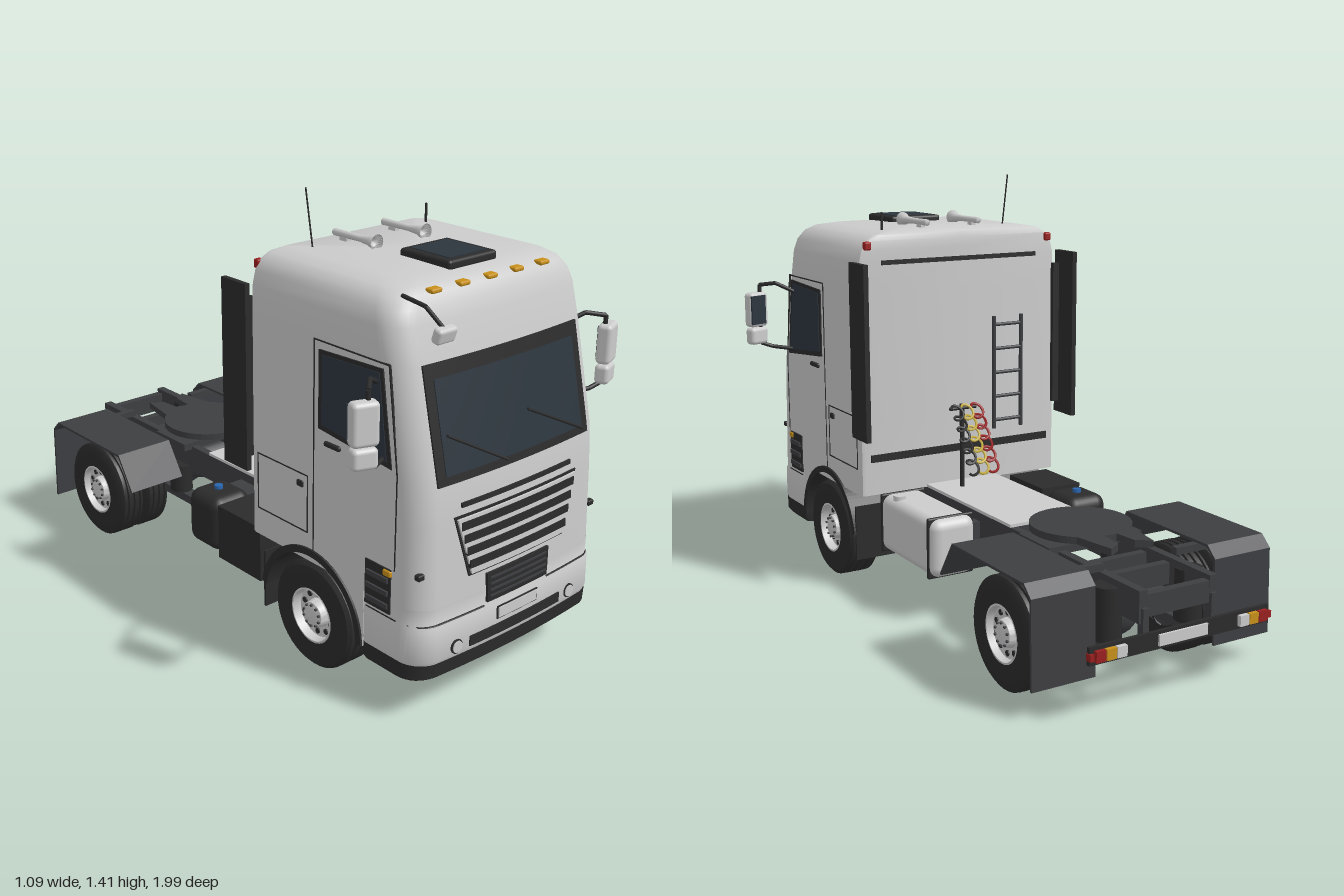
import * as THREE from 'three';
import { toCreasedNormals } from 'three/addons/utils/BufferGeometryUtils.js';
import { RoundedBoxGeometry } from 'three/addons/geometries/RoundedBoxGeometry.js';

const GREY = 0xcccccc, DARK = 0x2b2b2c, FRAME = 0x3d3e41, GLASS = 0x2c353d, AMBER = 0xc8901a, RED = 0x9a2020;
const BOW = 0.02, CORNER = 0.08;

// body levels: [height, front z, half width, back z]
const CAB = [[0.35, 0.6, 0.001, 0.59], [0.35, 0.982, 0.385, 0.25], [0.6, 0.972, 0.385, 0.25], [0.72, 0.963, 0.385, 0.25],
  [1.04, 0.89, 0.384, 0.25], [1.14, 0.864, 0.382, 0.25], [1.18, 0.85, 0.372, 0.25], [1.21, 0.832, 0.352, 0.25],
  [1.228, 0.805, 0.322, 0.255], [1.238, 0.75, 0.27, 0.27], [1.242, 0.55, 0.001, 0.54]];
const BUMPER = [[0.185, 0.984, 0.385, 0.745], [0.2, 0.99, 0.388, 0.745], [0.3, 0.988, 0.388, 0.745],
  [0.31, 0.982, 0.385, 0.745], [0.36, 0.982, 0.385, 0.745]];
const VALANCE = [[0.13, 0.85, 0.001, 0.84], [0.13, 0.965, 0.375, 0.745], [0.145, 0.985, 0.387, 0.745], [0.19, 0.988, 0.387, 0.745]];

export function createModel() {
  const root = new THREE.Group();
  const mats = {};
  const mat = (c) => (mats[c] ??= new THREE.MeshStandardMaterial({ color: c, side: THREE.DoubleSide }));
  const add = (name, geo, color, x = 0, y = 0, z = 0) => {
    const m = new THREE.Mesh(geo, mat(color));
    m.name = name;
    m.position.set(x, y, z);
    root.add(m);
    return m;
  };
  const toShape = (pts) => new THREE.Shape(pts.map((p) => new THREE.Vector2(...p)));
  // box given by its limits
  const box = (name, c, x0, x1, y0, y1, z0, z1) => add(name,
    new THREE.BoxGeometry(Math.abs(x1 - x0), y1 - y0, z1 - z0), c, (x0 + x1) / 2, (y0 + y1) / 2, (z0 + z1) / 2);
  const rounded = (name, c, w, h, d, r, x, y, z) => add(name, new RoundedBoxGeometry(w, h, d, 3, r), c, x, y, z);
  const rod = (name, c, a, b, r, r2 = r) => {
    const A = new THREE.Vector3(...a), B = new THREE.Vector3(...b), d = B.clone().sub(A);
    const m = add(name, new THREE.CylinderGeometry(r2, r, d.length(), 20), c);
    m.position.copy(A).lerp(B, 0.5);
    m.quaternion.setFromUnitVectors(new THREE.Vector3(0, 1, 0), d.normalize());
  };
  const bent = (name, c, pts, r) => {
    for (let i = 1; i < pts.length; i++) rod(name, c, pts[i - 1], pts[i], r);
  };
  // plate from a shape drawn in (z, y), reaching from x toward -x by its depth
  const plate = (name, c, shape, x, depth) => add(name,
    new THREE.ExtrudeGeometry(shape, { depth, bevelEnabled: false, curveSegments: 24 }).rotateY(-Math.PI / 2), c, x);

  // body lofted through rounded plan outlines
  const loft = (name, c, levels) => {
    const rings = levels.map(([y, zf, w, zb]) => {
      const r = Math.min(CORNER, w * 0.5, (zf - zb) / 3), rb = r * 0.2, half = [];
      const drop = BOW * ((w - r) / w) ** 2;
      for (let i = 0; i < 7; i++) half.push([(w - r) * i / 6, zf - BOW * ((w - r) * i / 6 / w) ** 2]);
      for (let i = 1; i < 9; i++) {
        const a = i / 8 * Math.PI / 2;
        half.push([w - r + r * Math.sin(a), zf - drop - r + r * Math.cos(a)]);
      }
      half.push([w, zb + rb], [w - rb * 0.3, zb + rb * 0.3], [w - rb, zb], [0, zb]);
      return [...half, ...half.slice(1, -1).reverse().map(([x, z]) => [-x, z])].map(([x, z]) => [x, y, z]);
    });
    const n = rings[0].length, idx = [];
    for (let j = 0; j < rings.length - 1; j++) for (let i = 0; i < n; i++) {
      const a = j * n + i, b = j * n + (i + 1) % n;
      idx.push(a, b, b + n, a, b + n, a + n);
    }
    const g = new THREE.BufferGeometry();
    g.setAttribute('position', new THREE.Float32BufferAttribute(rings.flat(2), 3));
    g.setIndex(idx);
    add(name, toCreasedNormals(g, 0.6), c);
  };
  const frontZ = (x, y) => {
    const L = y < 0.19 ? VALANCE : y < 0.33 ? BUMPER : CAB;
    let i = 1;
    while (i < L.length - 2 && L[i + 1][0] < y) i++;
    const t = THREE.MathUtils.clamp((y - L[i][0]) / (L[i + 1][0] - L[i][0]), 0, 1);
    const zf = THREE.MathUtils.lerp(L[i][1], L[i + 1][1], t), w = 0.385, e = Math.max(0, Math.abs(x) - w + CORNER);
    return zf - BOW * (Math.min(Math.abs(x), w - CORNER) / w) ** 2 - CORNER + Math.sqrt(Math.max(0, CORNER ** 2 - e * e));
  };
  // panel lying on the curved front, rising "off" above it, narrowed toward its bottom by "taper"
  const front = (name, c, x0, x1, y0, y1, off, taper = 1) => {
    const g = new THREE.BoxGeometry(1, 1, 1, 14, 8, 1), p = g.attributes.position;
    for (let i = 0; i < p.count; i++) {
      const v = p.getY(i) + 0.5, y = y0 + (y1 - y0) * v;
      const x = (x0 + (x1 - x0) * (p.getX(i) + 0.5)) * (taper + (1 - taper) * v);
      p.setXYZ(i, x, y, frontZ(x, y) + (p.getZ(i) > 0 ? off : -0.005));
    }
    g.computeVertexNormals();
    add(name, g, c);
  };

  // cab shell, bumper and front details
  loft('cab', GREY, CAB);
  loft('bumper', GREY, BUMPER);
  loft('lowerValance', DARK, VALANCE);
  front('windscreenFrame', DARK, -0.315, 0.315, 0.715, 1.04, 0.005);
  front('windscreen', GLASS, -0.285, 0.285, 0.74, 1.0, 0.008);
  for (const [a, b] of [[-0.06, -0.27], [0.28, 0.045]])
    rod('wiper', DARK, [a, 0.735, frontZ(a, 0.735) + 0.014], [b, 0.85, frontZ(b, 0.85) + 0.014], 0.004);
  front('grilleSurround', DARK, -0.258, 0.258, 0.425, 0.615, 0.004, 0.78);
  front('grille', GREY, -0.25, 0.25, 0.432, 0.608, 0.01, 0.78);
  [0.588, 0.548, 0.508, 0.466].forEach((y, i) => front('grilleSlot', DARK, -0.238 + i * 0.011, 0.238 - i * 0.011, y - 0.014, y + 0.01, 0.013));
  front('trimStrip', DARK, -0.23, 0.23, 0.638, 0.651, 0.006);
  front('lowerGrille', DARK, -0.132, 0.132, 0.32, 0.41, 0.008, 0.97);
  for (let i = 0; i < 4; i++) front('lowerGrilleBar', FRAME, -0.12, 0.12, 0.335 + i * 0.019, 0.341 + i * 0.019, 0.011);
  front('bumperSeam', DARK, -0.38, -0.135, 0.307, 0.311, 0.002);
  front('bumperSeam', DARK, 0.135, 0.38, 0.307, 0.311, 0.002);
  front('plateFrame', DARK, -0.087, 0.087, 0.252, 0.292, 0.003);
  front('numberPlate', GREY, -0.082, 0.082, 0.256, 0.288, 0.006);
  front('bumperSlot', DARK, -0.195, 0.195, 0.205, 0.236, 0.004);
  for (const x of [-0.22, -0.11, 0, 0.11, 0.22]) rounded('markerLamp', AMBER, 0.04, 0.014, 0.03, 0.006, x, 1.217, 0.822);

  // roof equipment
  rounded('roofHatch', DARK, 0.195, 0.03, 0.195, 0.01, 0, 1.246, 0.665);
  box('hatchGlass', GLASS, -0.075, 0.075, 1.255, 1.263, 0.59, 0.74);
  for (const s of [1, -1]) {
    const horn = new THREE.LatheGeometry([[0, 0], [0.011, 0], [0.01, 0.11], [0.014, 0.15], [0.025, 0.18], [0.012, 0.165], [0, 0.16]]
      .map((p) => new THREE.Vector2(...p)), 20).rotateX(Math.PI / 2);
    add('airHorn', horn, GREY, s * 0.1, 1.258, 0.3);
    box('hornFoot', GREY, s * 0.1 - 0.008, s * 0.1 + 0.008, 1.235, 1.255, 0.33, 0.36);
  }
  rod('antenna', DARK, [-0.22, 1.22, 0.34], [-0.228, 1.41, 0.315], 0.0025);
  rod('shortAntenna', DARK, [0.255, 1.22, 0.33], [0.255, 1.297, 0.33], 0.004);
  bent('frontMirrorArm', DARK, [[-0.315, 1.215, 0.8], [-0.315, 1.205, 0.885], [-0.28, 1.145, 0.92]], 0.006);
  rounded('frontMirror', GREY, 0.07, 0.045, 0.03, 0.01, -0.278, 1.13, 0.92).rotation.x = 0.3;

  // wheel, lathed about the x axis, outer face toward +x
  const spin = (pts) => new THREE.LatheGeometry(pts.map((p) => new THREE.Vector2(...p)), 40).rotateZ(-Math.PI / 2);
  const wheel = (name, s, x, z, h, rim) => {
    const g = new THREE.Group();
    g.name = name;
    const part = (n, geo, c) => { const m = new THREE.Mesh(geo, mat(c)); m.name = n; g.add(m); return m; };
    const pts = [[0.088, -h], [0.13, -h], [0.158, -h * 0.95], [0.169, -h * 0.78]];
    for (const k of [-0.5, 0, 0.5]) pts.push([0.17, (k - 0.1) * h], [0.162, (k - 0.08) * h], [0.162, (k + 0.08) * h], [0.17, (k + 0.1) * h]);
    pts.push([0.169, h * 0.78], [0.158, h * 0.95], [0.13, h], [0.088, h]);
    part('tyre', toCreasedNormals(spin(pts), 0.6), DARK);
    part('innerDisc', spin([[0, -h * 0.4], [0.089, -h * 0.8]]), FRAME);
    if (rim) {
      part('rim', toCreasedNormals(spin([[0.09, h * 0.95], [0.082, h], [0.077, h * 0.55], [0.045, h * 0.45], [0.04, h * 0.9], [0.022, h], [0, h]]), 0.5), GREY);
      for (let i = 0; i < 10; i++) {
        const a = i / 10 * Math.PI * 2;
        part('rimHole', new THREE.CylinderGeometry(0.009, 0.009, 0.006, 12).rotateZ(Math.PI / 2), DARK)
          .position.set(h * 0.52, 0.062 * Math.cos(a), 0.062 * Math.sin(a));
        part('wheelNut', new THREE.CylinderGeometry(0.004, 0.004, 0.01, 6).rotateZ(Math.PI / 2), FRAME)
          .position.set(h * 0.95, 0.034 * Math.cos(a), 0.034 * Math.sin(a));
      }
    }
    g.position.set(x, 0.17, z);
    if (s < 0) g.rotation.y = Math.PI;
    root.add(g);
  };

  for (const s of [1, -1]) {
    const sx = s * 0.387;
    // thin plate on the cab side; t is how far it stands out
    const side = (name, c, pts, t = 0.004) => plate(name, c, toShape(pts), s > 0 ? 0.385 + t : -0.38, t + 0.005);
    const rect = (z0, z1, y0, y1) => [[z0, y0], [z1, y0], [z1, y1], [z0, y1]];
    const line = (z0, z1, y0, y1) => side('panelGap', DARK, rect(z0, z1, y0, y1), 0.0015);
    side('sideWindowFrame', DARK, [[0.85, 0.755], [0.808, 1.03], [0.555, 1.02], [0.555, 0.785]], 0.003);
    side('sideWindow', GLASS, [[0.832, 0.772], [0.797, 1.017], [0.57, 1.008], [0.57, 0.8]], 0.005);
    line(0.532, 0.536, 0.37, 1.045); line(0.532, 0.83, 1.043, 1.047);
    side('panelGap', DARK, [[0.868, 0.46], [0.872, 0.46], [0.872, 0.74], [0.832, 1.045], [0.828, 1.045], [0.868, 0.74]], 0.0015);
    line(0.28, 0.51, 0.438, 0.442); line(0.28, 0.51, 0.618, 0.622); line(0.28, 0.284, 0.44, 0.62); line(0.506, 0.51, 0.44, 0.62);
    rounded('doorHandle', DARK, 0.014, 0.016, 0.065, 0.006, sx, 0.748, 0.615);
    rounded('lockerLatch', DARK, 0.008, 0.02, 0.025, 0.003, sx, 0.588, 0.477);
    // entry steps, lamps
    side('stepPanel', DARK, rect(0.757, 0.858, 0.32, 0.458), 0.004);
    for (let i = 0; i < 3; i++) side('stepTread', FRAME, rect(0.765, 0.85, 0.335 + i * 0.04, 0.35 + i * 0.04), 0.01);
    rounded('turnLamp', AMBER, 0.014, 0.02, 0.03, 0.005, sx, 0.445, 0.845);
    rounded('cornerLamp', DARK, 0.025, 0.018, 0.02, 0.005, s * 0.365, 0.465, 0.945);
    line(0.76, 0.88, 0.307, 0.311);
    rounded('rearRoofLamp', RED, 0.025, 0.028, 0.022, 0.006, s * 0.35, 1.195, 0.25);
    const fog = [s * 0.245, 0.222];
    rod('fogLampRing', DARK, [...fog, frontZ(...fog) - 0.01], [...fog, frontZ(...fog) + 0.004], 0.022);
    rod('fogLamp', GREY, [...fog, frontZ(...fog)], [...fog, frontZ(...fog) + 0.007], 0.018);
    // front wheel arch
    const spandrel = toShape([[0.75, 0.17], [0.75, 0.36], [0.4, 0.36]]);
    spandrel.absarc(0.525, 0.17, 0.218, 2.15, 0, true);
    plate('archPanel', GREY, spandrel, s > 0 ? 0.385 : -0.355, 0.03);
    const arch = new THREE.Shape();
    arch.absarc(0.525, 0.17, 0.222, 0, 3.0, false);
    arch.absarc(0.525, 0.17, 0.2, 3.0, 0, true);
    plate('frontMudguard', DARK, arch, s > 0 ? 0.392 : -0.2, 0.192);
    box('frontMudflap', DARK, s * 0.22, s * 0.385, 0.11, 0.3, 0.305, 0.313);
    wheel('frontWheel', s, s * 0.325, 0.525, 0.06, true);
    wheel('rearOuterWheel', s, s * 0.338, -0.65, 0.047, true);
    wheel('rearInnerWheel', s, s * 0.232, -0.65, 0.047, false);
    // mirrors
    const turn = (m) => { m.rotation.y = s * 0.35; };
    turn(rounded('mainMirror', GREY, 0.08, 0.125, 0.045, 0.014, s * 0.505, 0.924, 0.862));
    turn(rounded('wideMirror', GREY, 0.075, 0.062, 0.045, 0.014, s * 0.505, 0.828, 0.862));
    turn(box('mirrorGlass', GLASS, s * 0.505 - 0.032, s * 0.505 + 0.032, 0.872, 0.976, 0.836, 0.842));
    bent('mirrorArm', DARK, [[s * 0.38, 0.985, 0.78], [s * 0.445, 1.02, 0.82], [s * 0.49, 1.012, 0.862], [s * 0.49, 0.8, 0.862],
      [s * 0.45, 0.785, 0.85], [s * 0.38, 0.775, 0.81]], 0.007);
    // rear wind deflector
    box('windDeflector', DARK, s * 0.395, s * 0.412, 0.56, 1.145, 0.15, 0.262);
    box('deflectorBracket', DARK, s * 0.37, s * 0.4, 0.6, 1.1, 0.235, 0.252);
    // rear mudguard with flap
    const edge = [[-0.36, 0.27], [-0.435, 0.385], [-0.83, 0.385], [-0.866, 0.35], [-0.872, 0.085]];
    const inner = [[-0.864, 0.085], [-0.858, 0.346], [-0.826, 0.377], [-0.439, 0.377], [-0.368, 0.268]];
    plate('rearMudguard', FRAME, toShape([...edge, ...inner]), s > 0 ? 0.423 : -0.212, 0.211);
    // chassis rail, suspension
    box('chassisRail', FRAME, s * 0.11, s * 0.137, 0.255, 0.35, -0.965, 0.85);
    rod('airSpring', DARK, [s * 0.145, 0.17, -0.83], [s * 0.145, 0.33, -0.83], 0.042);
    rod('airSpring', DARK, [s * 0.145, 0.17, -0.46], [s * 0.145, 0.27, -0.46], 0.04);
    box('trailingArm', FRAME, s * 0.12, s * 0.165, 0.14, 0.17, -0.87, -0.36);
    rod('damper', DARK, [s * 0.17, 0.16, -0.74], [s * 0.15, 0.32, -0.7], 0.014);
    box('frontSpring', FRAME, s * 0.13, s * 0.17, 0.2, 0.225, 0.28, 0.8);
    box('mudguardStay', FRAME, s * 0.13, s * 0.3, 0.355, 0.377, -0.79, -0.765);
    // tail lamps
    [[0.285, RED], [0.25, AMBER], [0.215, GREY]].forEach(([x, c]) => box('tailLamp', c, s * (x - 0.016), s * (x + 0.016), 0.19, 0.222, -1, -0.985));
    box('sideReflector', RED, s * 0.305, s * 0.318, 0.195, 0.215, -0.995, -0.975);
    box('tailBarStay', FRAME, s * 0.11, s * 0.13, 0.18, 0.3, -0.975, -0.95);
  }

  // chassis: crossmembers, deck, axles, driveline
  for (const z of [-0.95, -0.77, -0.66, -0.2, 0.1]) box('crossmember', FRAME, -0.12, 0.12, 0.27, 0.335, z - 0.014, z + 0.014);
  box('deckPlate', GREY, -0.138, 0.138, 0.35, 0.36, -0.3, 0.26);
  rod('frontAxle', FRAME, [-0.3, 0.165, 0.525], [0.3, 0.165, 0.525], 0.03);
  rod('rearAxle', FRAME, [-0.33, 0.17, -0.65], [0.33, 0.17, -0.65], 0.042);
  add('differential', new THREE.SphereGeometry(0.085, 24, 16), FRAME, 0, 0.175, -0.65);
  rod('pinionHousing', FRAME, [0, 0.18, -0.65], [0, 0.19, -0.5], 0.07, 0.03);
  rod('driveShaft', FRAME, [0, 0.19, -0.52], [0, 0.23, 0.2], 0.02);
  rod('gearbox', FRAME, [0, 0.24, 0.15], [0, 0.22, 0.5], 0.06, 0.1);
  box('engine', FRAME, -0.1, 0.1, 0.15, 0.35, 0.48, 0.84);

  // fifth wheel coupling with open rear jaws
  const disc = new THREE.Shape().absarc(0, 0.485, 0.158, 0, Math.PI * 2, false);
  const jaws = toShape([[-0.1, 0.6], [-0.075, 0.75], [-0.03, 0.72], [-0.02, 0.62], [0.02, 0.62], [0.03, 0.72], [0.075, 0.75], [0.1, 0.6]]);
  for (const shape of [disc, jaws]) add('fifthWheel', new THREE.ExtrudeGeometry(shape, { depth: 0.022, bevelEnabled: false, curveSegments: 40 })
    .rotateX(-Math.PI / 2), FRAME, 0, 0.377, 0);
  box('couplingMount', FRAME, -0.17, 0.17, 0.34, 0.365, -0.57, -0.4);
  box('couplingPedestal', FRAME, -0.1, 0.1, 0.355, 0.38, -0.54, -0.43);

  // rear light bar
  box('lightBar', DARK, -0.315, 0.315, 0.18, 0.232, -0.986, -0.974);
  box('rearPlate', GREY, -0.085, 0.085, 0.19, 0.223, -0.993, -0.986);

  // fuel tank, side boxes, exhaust
  rounded('fuelTank', GREY, 0.16, 0.195, 0.4, 0.035, 0.24, 0.253, 0.07);
  for (const z of [-0.095, 0.235]) rounded('tankStrap', DARK, 0.168, 0.203, 0.014, 0.006, 0.24, 0.253, z);
  rod('tankCap', GREY, [0.285, 0.345, 0.17], [0.285, 0.362, 0.17], 0.022);
  rounded('additiveTank', DARK, 0.155, 0.19, 0.165, 0.04, -0.275, 0.253, -0.06);
  rod('additiveCap', 0x2a66b0, [-0.275, 0.345, -0.065], [-0.275, 0.36, -0.065], 0.014);
  box('batteryBox', DARK, -0.355, -0.2, 0.16, 0.345, 0.035, 0.25);
  box('boxBracket', FRAME, -0.21, -0.13, 0.24, 0.32, -0.12, 0.22);
  box('tankBracket', FRAME, 0.13, 0.18, 0.24, 0.32, -0.11, 0.25);
  bent('exhaust', DARK, [[-0.18, 0.17, 0.2], [-0.2, 0.155, 0.12], [-0.24, 0.125, 0.06]], 0.018);

  // cab rear wall: trim bars and ladder
  box('rearTopStrip', DARK, -0.3, 0.3, 1.13, 1.145, 0.244, 0.252);
  box('rearLowStrip', DARK, -0.35, 0.35, 0.465, 0.49, 0.244, 0.252);
  for (const x of [-0.235, -0.125]) rod('ladderRail', FRAME, [x, 0.53, 0.235], [x, 0.93, 0.235], 0.007);
  for (let i = 0; i < 5; i++) rod('ladderRung', FRAME, [-0.235, 0.56 + i * 0.085, 0.235], [-0.125, 0.56 + i * 0.085, 0.235], 0.006);

  // coiled air lines on their post
  rod('hosePost', DARK, [0.045, 0.36, 0.165], [0.045, 0.65, 0.165], 0.008);
  rod('hoseBar', DARK, [0, 0.64, 0.15], [0.1, 0.64, 0.15], 0.006);
  [[0.012, RED], [0.05, 0xc8b040], [0.088, DARK]].forEach(([x, c]) => {
    const pts = [];
    for (let i = 0; i <= 72; i++) {
      const t = i / 72, a = t * Math.PI * 12;
      pts.push(new THREE.Vector3(x + 0.019 * Math.cos(a), 0.65 - 0.2 * t + 0.012 * Math.sin(a), 0.125 - 0.12 * t + 0.012 * Math.sin(a)));
    }
    add('airLine', new THREE.TubeGeometry(new THREE.CatmullRomCurve3(pts), 160, 0.0045, 6), c);
  });
  return root;
}
